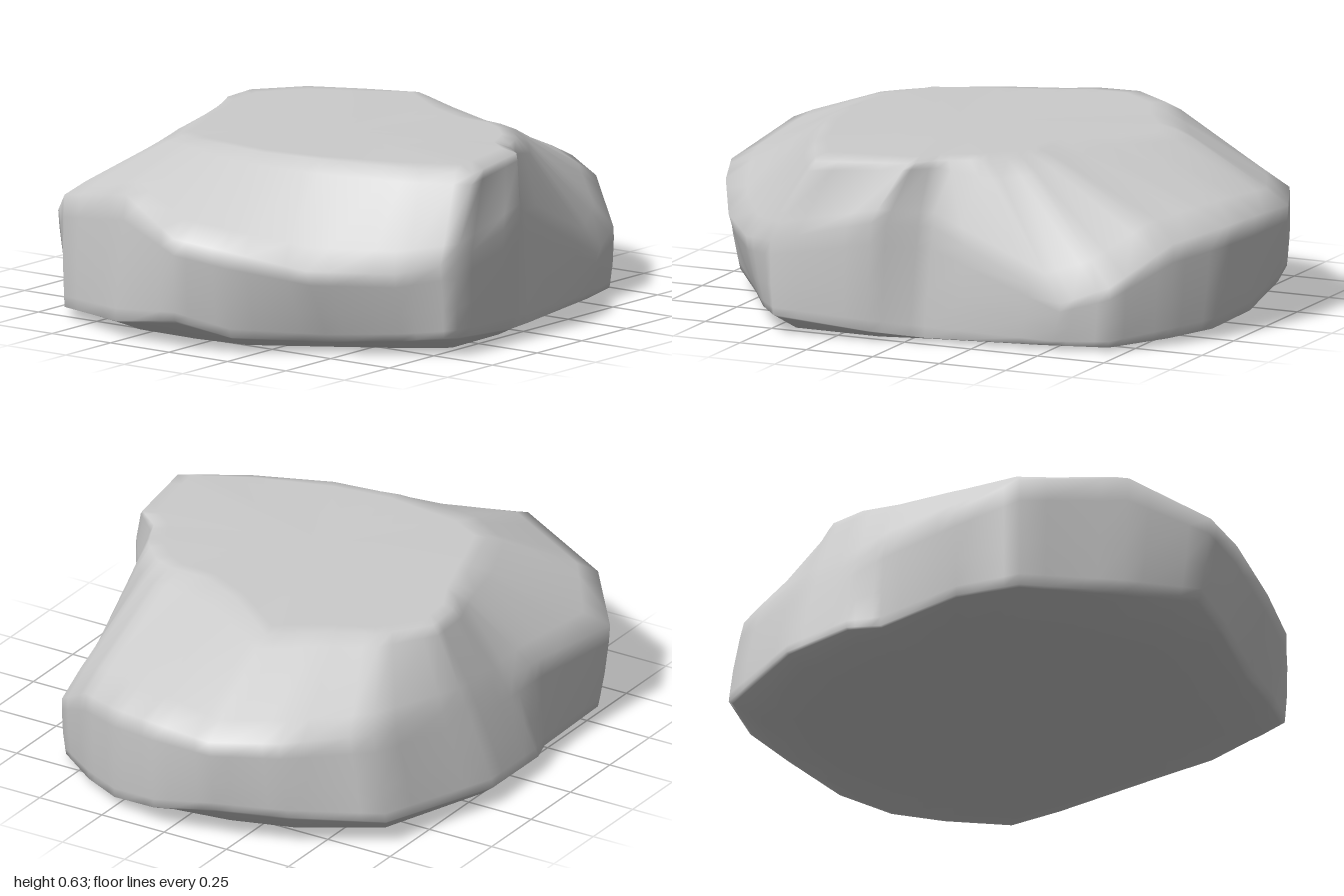
import * as THREE from 'three';

// Stations run round the stone from +x through +z; each is [x, z, y].
const lowEdge = [
  [.96, -.18, .12], [.97, .06, .07], [.92, .25, .04], [.83, .41, .03], [.69, .59, .02], [.5, .64, .02], [.06, .72, .02],
  [-.12, .79, .04], [-.46, .82, .07], [-.57, .67, .06], [-.7, .45, .05], [-.89, .18, .06], [-.97, 0, .11], [-.91, -.3, .06],
  [-.76, -.63, .04], [-.57, -.75, .03], [-.2, -.77, .04], [-.08, -.82, .06], [.22, -.83, .07], [.68, -.69, .09], [.88, -.42, .12],
];
const shoulder = [
  [1, -.18, .39], [.99, .06, .4], [.95, .23, .39], [.85, .41, .36], [.7, .6, .23], [.54, .65, .17], [.08, .69, .4],
  [-.1, .81, .42], [-.47, .82, .33], [-.63, .68, .3], [-.81, .44, .31], [-.94, .19, .37], [-1, .02, .4], [-.9, -.26, .5],
  [-.76, -.63, .43], [-.6, -.78, .33], [-.2, -.75, .36], [0, -.73, .35], [.24, -.73, .36], [.67, -.63, .4], [.9, -.4, .4],
];
const plateau = [
  [.59, -.15, .62], [.42, .08, .63], [.34, .25, .63], [.33, .4, .625], [.29, .48, .62], [.2, .57, .62], [.07, .63, .62],
  [0, .72, .62], [-.32, .78, .61], [-.43, .56, .62], [-.52, .28, .63], [-.55, .05, .63], [-.53, -.1, .63], [-.51, -.26, .63],
  [-.45, -.38, .62], [-.22, -.46, .63], [-.02, -.53, .63], [.1, -.59, .63], [.24, -.6, .63], [.4, -.48, .63], [.48, -.31, .63],
];

const mix = (p, q, t) => p.map((v, i) => THREE.MathUtils.lerp(v, q[i], t));

// A loop between two others, swelled slightly outward and upward.
const between = (a, b, t, swell = 1, lift = 0) => a.map((p, i) => {
  const [x, z, y] = mix(p, b[i], t);
  return [x * swell, z * swell, y + lift];
});

// Extra points along each loop keep the facets flat and the ridges narrow.
const refine = (loop) => loop.flatMap((p, i) => {
  const q = loop[(i + 1) % loop.length];
  return [p, mix(p, q, .25), mix(p, q, .75)];
});

// Skin stacked loops and close both ends with a fan.
function skin(loops, bottomY, topY) {
  const n = loops[0].length, pos = [], index = [];
  loops.flat().forEach(([x, z, y]) => pos.push(x, y, z));
  const bottom = pos.length / 3, top = bottom + 1;
  pos.push(0, bottomY, 0, -.1, topY, .05);
  const last = (loops.length - 1) * n;
  for (let i = 0; i < n; i++) {
    const j = (i + 1) % n;
    for (let k = 0; k < last; k += n) {
      index.push(k + i, k + n + i, k + j, k + j, k + n + i, k + n + j);
    }
    index.push(bottom, i, j, last + i, top, last + j);
  }
  const geo = new THREE.BufferGeometry();
  geo.setAttribute('position', new THREE.Float32BufferAttribute(pos, 3));
  geo.setIndex(index);
  geo.computeVertexNormals();
  return geo;
}

export function createModel() {
  const group = new THREE.Group();
  group.name = 'rock';

  // Underside pulled in from the low edge, then wall, sloped shoulder and flat top
  const foot = lowEdge.map(([x, z, y]) => [x * .88, z * .92, y * .25]);
  const loops = [
    foot.map(([x, z]) => [x * .85, z * .85, .01]),
    foot,
    between(lowEdge, foot, .15),
    lowEdge,
    between(lowEdge, shoulder, .1, 1.002),
    between(lowEdge, shoulder, .4, 1.006),
    between(lowEdge, shoulder, .8, 1.004),
    shoulder,
    between(shoulder, plateau, .2, 1.004, .006),
    between(shoulder, plateau, .85, 1.004, .008),
    plateau,
    plateau.map(([x, z]) => [x * .92 - .008, z * .92, .632]),
  ];
  const stone = new THREE.Mesh(
    skin(loops.map(refine), .01, .632),
    new THREE.MeshStandardMaterial({ color: 0xcccccc }),
  );
  stone.name = 'stone';
  group.add(stone);
  return group;
}
